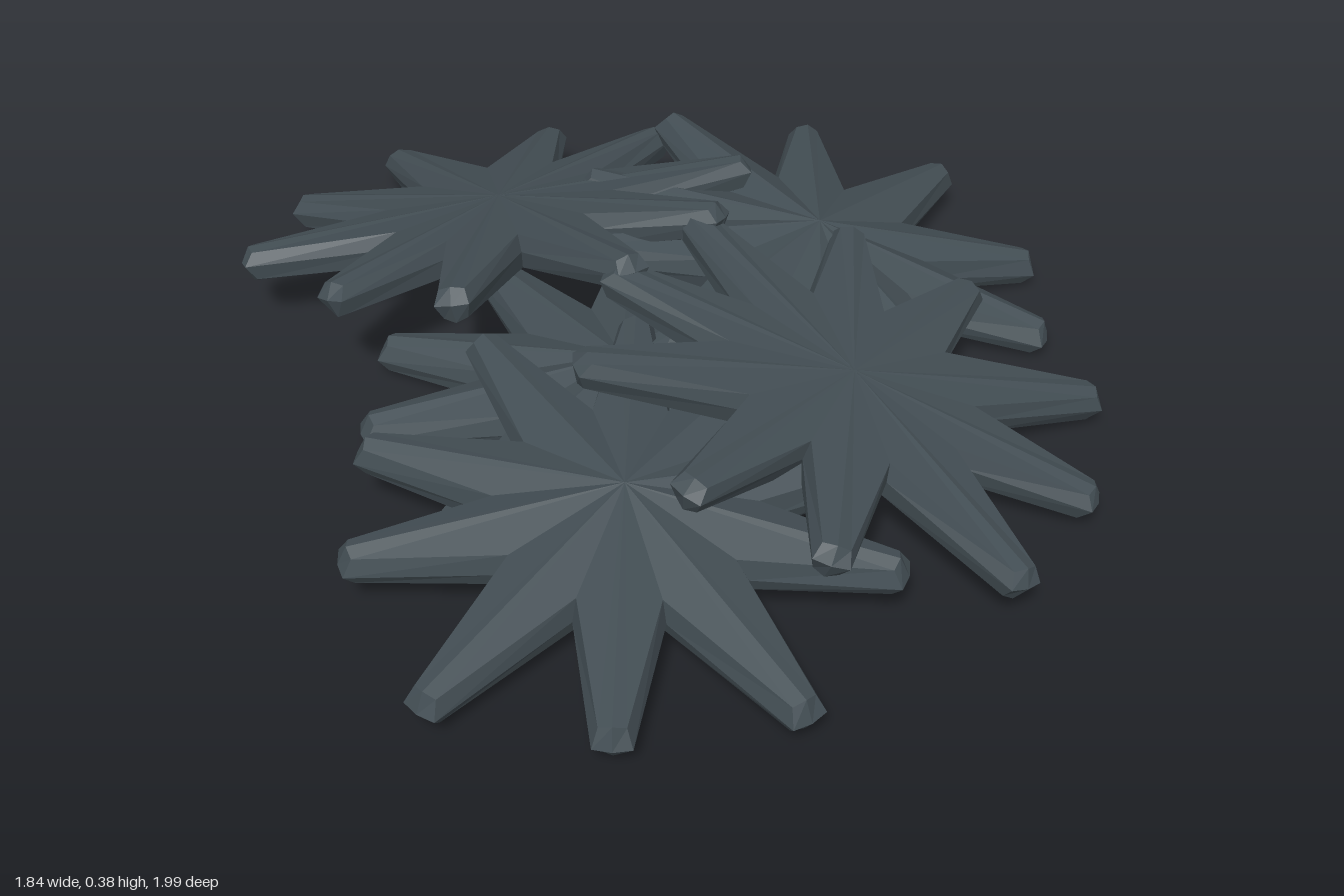
import * as THREE from 'three';

// Spikes as [angle in degrees, length], mirrored about the first one
const HALF = [[36, 0.577], [76, 0.54], [107, 0.55], [146, 0.57]];
const SPIKES = [
  [0, 0.537], ...HALF, [180, 0.54],
  ...HALF.map(([a, r]) => [360 - a, r]).reverse(),
];
const rad = THREE.MathUtils.degToRad;

// Outline of a blunt-tipped star: four corners per spike (valley, tip side, tip ridge, tip side)
function starRing(inset, valleyR, halfWidth, tipY, ridgeY, valleyY) {
  return SPIKES.flatMap(([deg, length], i) => {
    const before = i ? SPIKES[i - 1][0] : SPIKES[SPIKES.length - 1][0] - 360;
    const a = rad(deg), v = rad((deg + before) / 2), r = length - inset;
    const corner = (along, side, y) => new THREE.Vector3(
      Math.cos(a) * along - Math.sin(a) * side, y, Math.sin(a) * along + Math.cos(a) * side);
    return [
      new THREE.Vector3(Math.cos(v) * valleyR, valleyY, Math.sin(v) * valleyR),
      corner(r - 0.006, -halfWidth, tipY),
      corner(r, 0, ridgeY),
      corner(r - 0.006, halfWidth, tipY),
    ];
  });
}

// Thick faceted star: bevelled outlines closed by a raised crown and a flatter underside
function starGeometry() {
  const rings = [
    starRing(0.02, 0.25, 0.025, 0.031, 0.04, 0.042),
    starRing(0, 0.272, 0.036, -0.004, -0.004, 0.0),
    starRing(0.02, 0.255, 0.027, -0.031, -0.038, -0.035),
  ];
  const top = new THREE.Vector3(0, 0.092, 0);
  const bottom = new THREE.Vector3(0, -0.046, 0);
  const verts = [];
  const tri = (...corners) => corners.forEach((c) => verts.push(c.x, c.y, c.z));
  const n = rings[0].length;
  for (let i = 0; i < n; i++) {
    const j = (i + 1) % n;
    tri(top, rings[0][j], rings[0][i]);
    tri(bottom, rings[2][i], rings[2][j]);
    for (let k = 0; k < 2; k++) {
      const up = rings[k], low = rings[k + 1];
      tri(up[i], up[j], low[j]);
      tri(up[i], low[j], low[i]);
    }
  }
  const geo = new THREE.BufferGeometry();
  geo.setAttribute('position', new THREE.Float32BufferAttribute(verts, 3));
  geo.computeVertexNormals();
  return geo;
}

export function createModel() {
  const model = new THREE.Group();
  model.name = 'starPile';
  const slate = new THREE.MeshStandardMaterial({ color: 0x434e54, flatShading: true });
  slate.name = 'slate grey';
  const geo = starGeometry();

  // Centre, rise per unit of x and z, direction of the first spike, and whether it lies crown down
  const stars = [
    { name: 'baseStar', at: [-0.08, 0.046, -0.037], slope: [0, 0], spin: -90, flip: false },
    { name: 'backLeftStar', at: [0.32, 0.14, -0.425], slope: [-0.2, 0], spin: -90, flip: false },
    { name: 'frontStar', at: [-0.05, 0.125, 0.465], slope: [0, -0.13], spin: 90, flip: false },
    { name: 'backRightStar', at: [-0.365, 0.205, -0.468], slope: [0.14, 0.222], spin: 201, flip: true },
    { name: 'topLeftStar', at: [0.375, 0.19, 0.135], slope: [-0.28, -0.03], spin: 19.5, flip: true },
  ];
  const up = new THREE.Vector3(0, 1, 0);
  const spikeAxis = new THREE.Vector3(1, 0, 0);
  for (const { name, at, slope, spin, flip } of stars) {
    const star = new THREE.Mesh(geo, slate);
    star.name = name;
    star.position.set(...at);
    const normal = new THREE.Vector3(-slope[0], 1, -slope[1]).normalize();
    star.quaternion.setFromUnitVectors(up, normal);
    star.rotateOnAxis(up, -rad(spin));
    if (flip) star.rotateOnAxis(spikeAxis, Math.PI);
    model.add(star);
  }
  return model;
}
